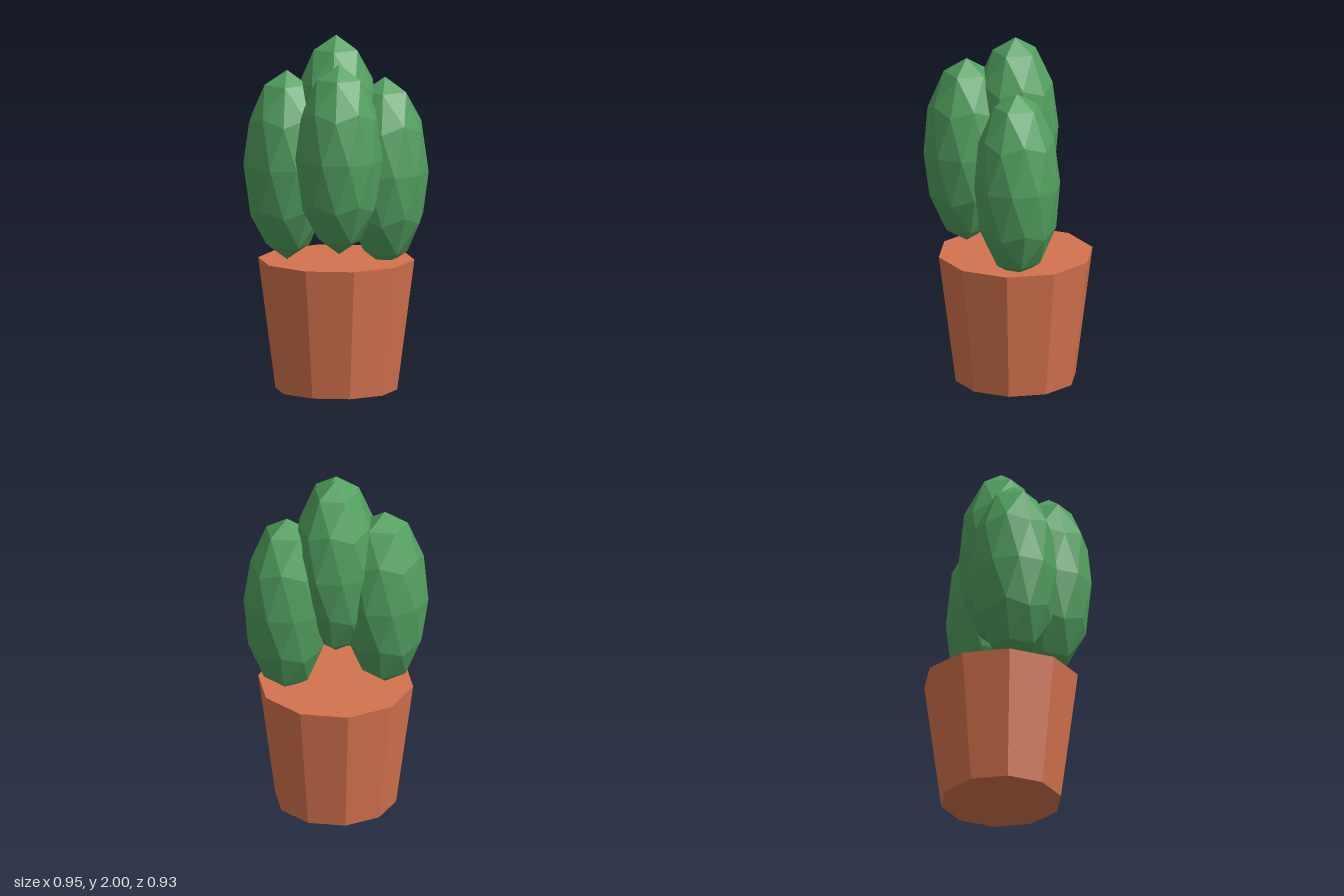
import * as THREE from 'three';

export function createModel() {
  const model = new THREE.Group();
  model.name = 'pottedCactus';

  const terracotta = new THREE.MeshStandardMaterial({ color: 0xd5734e, flatShading: true });
  terracotta.name = 'terracotta';
  const green = new THREE.MeshStandardMaterial({ color: 0x529f5f, flatShading: true });
  green.name = 'cactusGreen';

  // Ten-sided tapered pot with closed ends
  const potHeight = 0.735;
  const pot = new THREE.Mesh(new THREE.CylinderGeometry(0.436, 0.34, potHeight, 10), terracotta);
  pot.name = 'pot';
  pot.position.set(0, potHeight / 2, -0.027);
  model.add(pot);

  // Faceted cactus lobe: icosphere turned so a corner points up, then stretched
  const lobe = new THREE.IcosahedronGeometry(1, 1);
  lobe.rotateZ(-Math.atan(2 / (1 + Math.sqrt(5))));
  lobe.scale(0.244, 0.535, 0.244);
  lobe.computeVertexNormals();

  const lobes = [
    ['centreLobe', 0, 1.465, -0.026],
    ['rightLobe', -0.245, 1.27, 0.097],
    ['frontLobe', 0.121, 1.345, 0.218],
    ['leftLobe', 0.243, 1.225, -0.147],
  ];
  for (const [name, x, y, z] of lobes) {
    const mesh = new THREE.Mesh(lobe, green);
    mesh.name = name;
    mesh.position.set(x, y, z);
    model.add(mesh);
  }
  return model;
}
